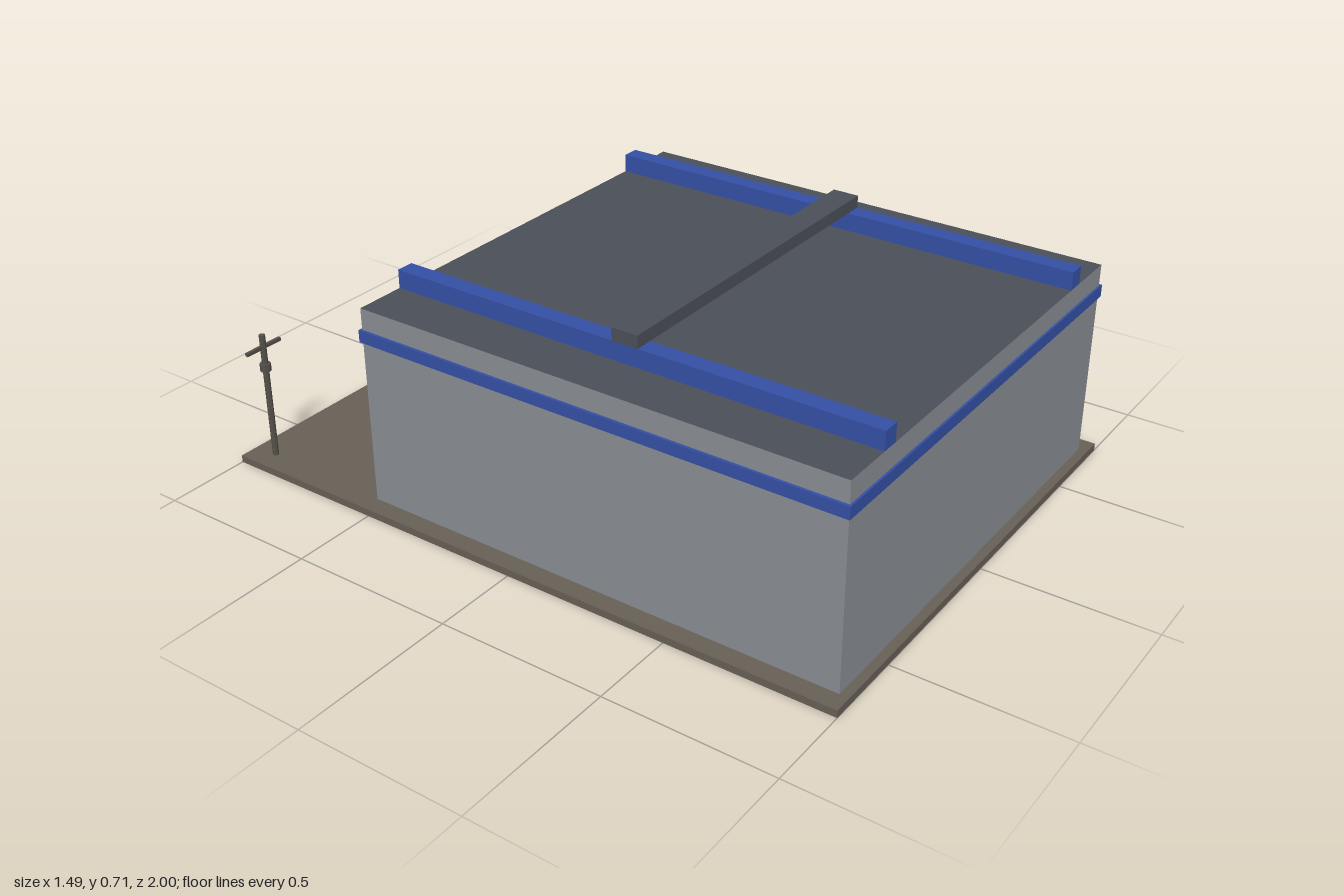
import * as THREE from 'three';

const flat = (name, color) => {
  const m = new THREE.MeshStandardMaterial({ color });
  m.name = name;
  return m;
};

export function createModel() {
  const ground = flat('brown ground', 0x665f56);
  const wall = flat('wall grey', 0x888c92);
  const roof = flat('roof slate', 0x4a5058);
  const blue = flat('trim blue', 0x3450a4);
  const navy = flat('door navy', 0x2a3a7c);
  const metal = flat('cap light grey', 0x8f9398);
  const iron = flat('post iron', 0x544f49);

  const model = new THREE.Group();
  model.name = 'warehouse';

  const add = (name, geometry, material, x, y, z, parent = model) => {
    const mesh = new THREE.Mesh(geometry, material);
    mesh.name = name;
    mesh.position.set(x, y, z);
    parent.add(mesh);
    return mesh;
  };
  // Box given by its min and max on each axis
  const box = (name, material, x0, x1, y0, y1, z0, z1, parent) =>
    add(name, new THREE.BoxGeometry(x1 - x0, y1 - y0, z1 - z0), material,
      (x0 + x1) / 2, (y0 + y1) / 2, (z0 + z1) / 2, parent);
  // Faceted upright cylinder or cone between two heights
  const prism = (name, material, rTop, rBottom, y0, y1, sides, x, z, parent) => {
    const g = new THREE.CylinderGeometry(rTop, rBottom, y1 - y0, sides).toNonIndexed();
    g.computeVertexNormals();
    return add(name, g, material, x, (y0 + y1) / 2, z, parent);
  };

  // Yard slab
  box('groundSlab', ground, -0.745, 0.745, 0, 0.022, -1, 1);

  // Main hall: grey walls with a slate top face
  box('hall', [wall, wall, roof, wall, wall, wall], -0.69, 0.69, 0.022, 0.615, -0.515, 0.973);
  box('wallBand', blue, -0.698, 0.698, 0.516, 0.552, -0.521, 0.979);

  // Roof rails and the beam across them
  for (const side of [-1, 1]) {
    const x = side * 0.513;
    box('roofRail', blue, x - 0.026, x + 0.026, 0.615, 0.669, -0.515, 0.973);
  }
  box('crossBeam', roof, -0.54, 0.54, 0.669, 0.706, 0.2, 0.28);

  // Back door with thin upright ribs
  box('door', navy, -0.31, 0.31, 0.025, 0.505, -0.52, -0.515);
  for (let i = -2; i <= 2; i++) {
    box('doorRib', roof, i * 0.11 - 0.005, i * 0.11 + 0.005, 0.025, 0.505, -0.524, -0.519);
  }

  // Vent tower: plinth, cone and cap
  const tower = new THREE.Group();
  tower.name = 'ventTower';
  model.add(tower);
  box('plinth', roof, 0.407, 0.663, 0.022, 0.077, -0.927, -0.671, tower);
  prism('cone', roof, 0.008, 0.108, 0.077, 0.31, 12, 0.535, -0.799, tower);
  prism('cap', metal, 0.06, 0.06, 0.308, 0.385, 12, 0.535, -0.799, tower);

  // Signal post with collar and cross arm
  const post = new THREE.Group();
  post.name = 'signalPost';
  model.add(post);
  prism('pole', iron, 0.009, 0.009, 0.022, 0.412, 8, -0.682, -0.925, post);
  prism('collar', iron, 0.016, 0.016, 0.298, 0.322, 8, -0.682, -0.925, post);
  box('crossArm', iron, -0.745, -0.619, 0.369, 0.379, -0.93, -0.92, post);

  return model;
}
